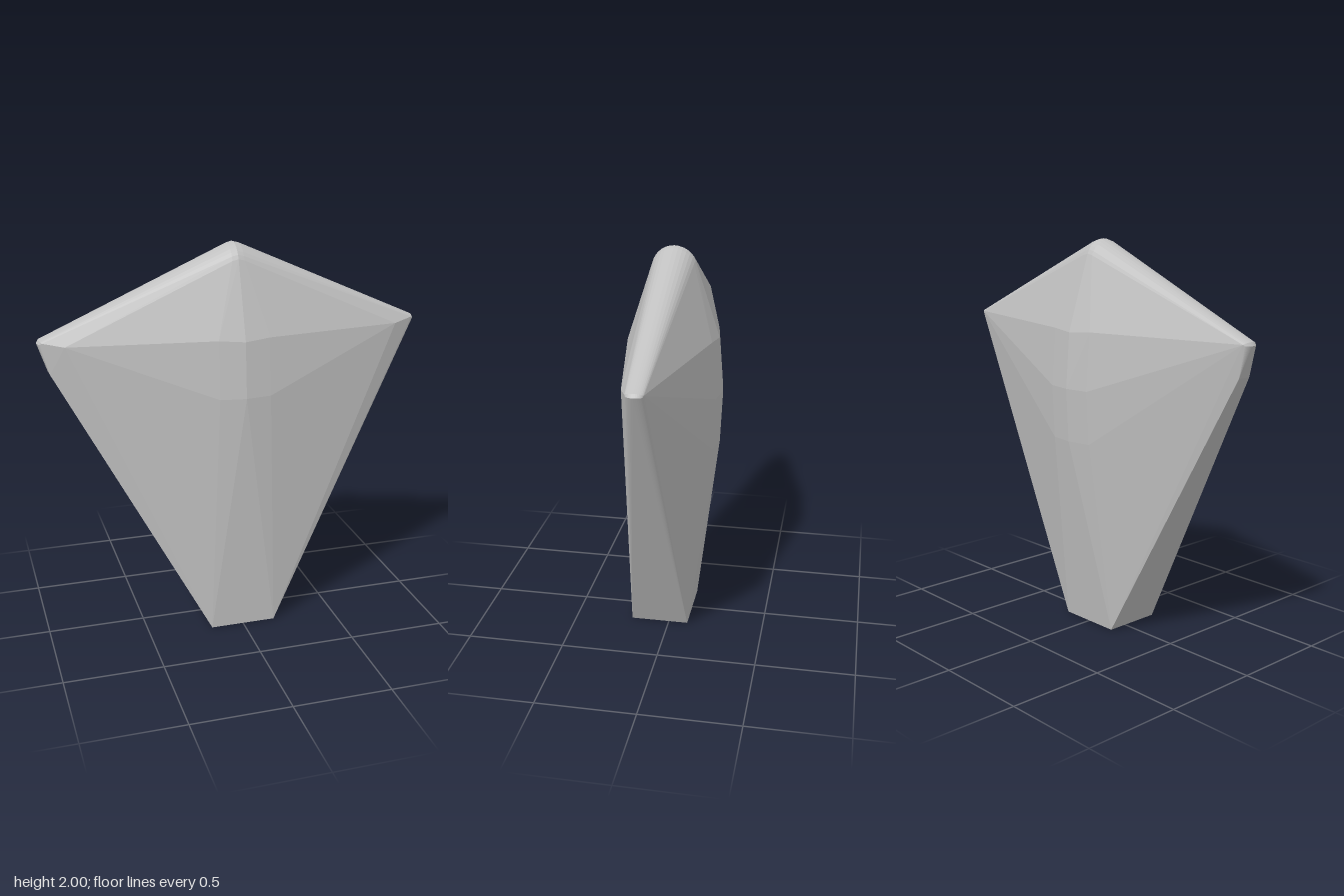
import * as THREE from 'three';
import { ConvexGeometry } from 'three/addons/geometries/ConvexGeometry.js';

export function createModel() {
  const group = new THREE.Group();
  const stone = new THREE.MeshStandardMaterial({ color: 0xc0c0c0 });
  const points = [];
  const add = (x, y, z) => points.push(new THREE.Vector3(x, y, z));
  const addPair = (x, y, z) => { add(x, y, z); add(-x, y, z); };

  // Flat foot, set slightly forward
  addPair(0.17, 0, 0.2);
  addPair(0.17, 0, -0.1);

  // Swollen middle of the front and back faces
  for (const side of [1, -1]) {
    add(0, 1.27, 0.25 * side);
    addPair(0.13, 1.27, 0.231 * side);
    add(0, 1.55, 0.228 * side);
    addPair(0.13, 1.56, 0.209 * side);
  }
  add(0, 1.0, -0.237);
  addPair(0.13, 1.0, -0.218);

  // Front bevel near the wing tips, and the blunt corner under the right tip
  addPair(0.85, 1.55, 0.08);
  add(-0.922, 1.41, 0.045);
  add(-0.925, 1.41, -0.03);

  // Rounded ridge, tapering from the crown to the wing tips
  const steps = 16;
  for (let i = 0; i <= steps; i++) {
    const a = Math.PI * (i / steps - 0.5);
    const s = Math.sin(a), c = Math.cos(a);
    add(0, 1.885 + 0.115 * c, 0.113 * s);
    addPair(0.03, 1.878 + 0.114 * c, 0.111 * s);
    addPair(0.95 + 0.015 * c, 1.565 + 0.012 * c, 0.043 * s);
    addPair(0.953 + 0.022 * c, 1.56, 0.04 * s);
  }

  const body = new THREE.Mesh(new ConvexGeometry(points), stone);
  body.name = 'body';
  group.add(body);
  return group;
}
